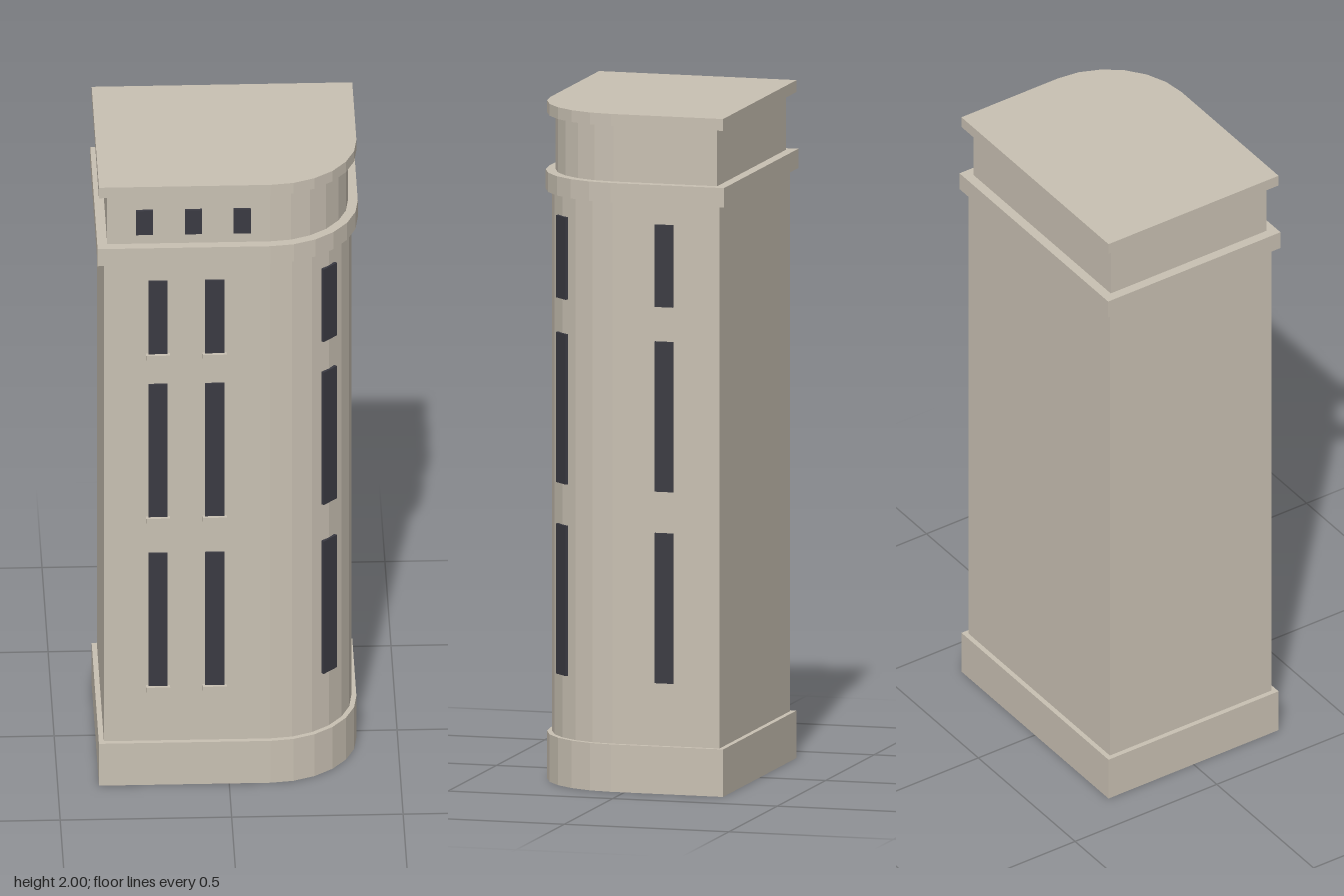
import * as THREE from 'three';

const wall = new THREE.MeshStandardMaterial({ color: 0xc8c0b2 });
wall.name = 'stone';
const glass = new THREE.MeshStandardMaterial({ color: 0x3a3a42 });
glass.name = 'darkGlass';

// Centre of the rounded front corner, shared by all storeys
const CX = 0.12, CZ = 0.04;
const HALF_X = 0.38, HALF_Z = 0.3, WALL_INSET = 0.015;

function add(group, name, geometry, material) {
  const mesh = new THREE.Mesh(geometry, material);
  mesh.name = name;
  group.add(mesh);
  return mesh;
}

// Block with the rounded corner at +x +z, from y0 to y1
function block(inset, y0, y1) {
  const hx = HALF_X - inset, hz = HALF_Z - inset;
  const s = new THREE.Shape();
  s.moveTo(-hx, -hz);
  s.lineTo(hx, -hz);
  s.lineTo(hx, CZ);
  s.absarc(CX, CZ, hx - CX, 0, Math.PI / 2, false);
  s.lineTo(-hx, hz);
  s.closePath();
  const g = new THREE.ExtrudeGeometry(s, { depth: y1 - y0, bevelEnabled: false, curveSegments: 3 });
  return g.rotateX(Math.PI / 2).translate(0, y1, 0);
}

export function createModel() {
  const model = new THREE.Group();
  model.name = 'cornerTower';

  // Stacked masses
  add(model, 'plinth', block(0, 0, 0.14), wall);
  add(model, 'mainWalls', block(WALL_INSET, 0.14, 1.74), wall);
  add(model, 'cornice', block(-0.004, 1.74, 1.797), wall);
  add(model, 'atticWalls', block(0.025, 1.797, 1.965), wall);
  add(model, 'roofSlab', block(0, 1.965, 2), wall);

  // Thin pane whose outer face sits at the given point, turned about y
  const pane = (name, w, y0, y1, x, z, turn) => {
    const g = new THREE.BoxGeometry(w, y1 - y0, 0.009).translate(0, 0, -0.0045);
    const m = add(model, name, g, glass);
    m.position.set(x, (y0 + y1) / 2, z);
    m.rotation.y = turn;
  };

  const wallX = HALF_X - WALL_INSET, wallZ = HALF_Z - WALL_INSET, proud = 0.006;
  const cornerR = (wallX - CX + proud) * Math.SQRT1_2;

  // Tall windows on three floors: two in front, one on the corner, one on the side
  for (const [y0, y1] of [[0.325, 0.768], [0.89, 1.333], [1.435, 1.678]]) {
    for (const x of [-0.207, -0.042]) {
      pane('frontWindow', 0.056, y0, y1, x, wallZ + proud, 0);
      const sill = add(model, 'windowSill', new THREE.BoxGeometry(0.07, 0.016, 0.024), wall);
      sill.position.set(x, y0 - 0.008, 0.289);
    }
    pane('cornerWindow', 0.056, y0, y1, CX + cornerR, CZ + cornerR, Math.PI / 4);
    pane('sideWindow', 0.056, y0, y1, wallX + proud, -0.117, Math.PI / 2);
  }

  // Small attic windows, standing clear of the recessed wall
  for (const x of [-0.247, -0.104, 0.038]) pane('atticWindow', 0.05, 1.838, 1.918, x, 0.298, 0);

  return model;
}
